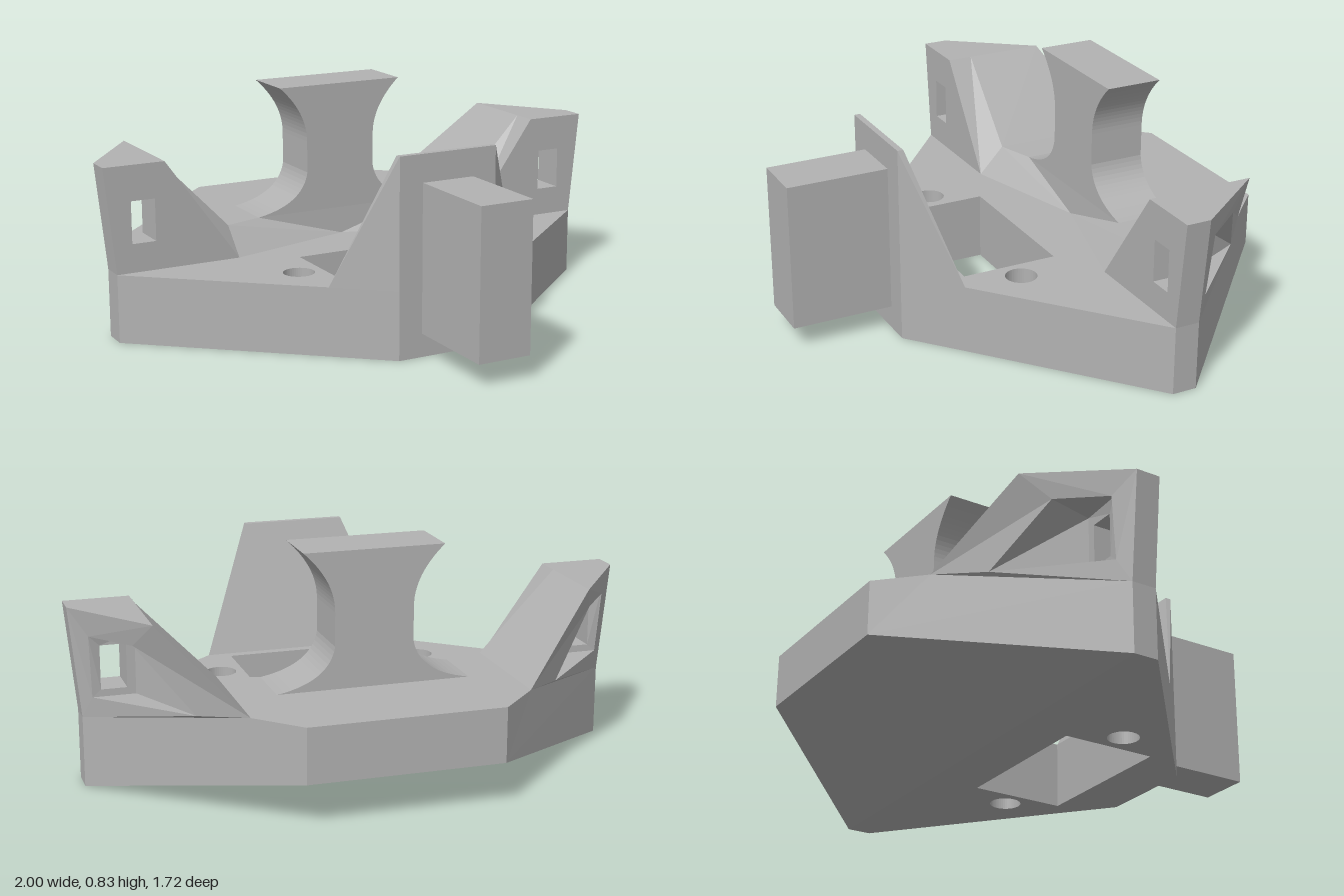
import * as THREE from 'three';

const grey = new THREE.MeshStandardMaterial({ color: 0xb2b2b2, side: THREE.DoubleSide });
grey.name = 'plain grey';

// Collects flat polygons; each face is turned to look along its outward hint.
function shell(name, build) {
  const pos = [];
  const face = (hint, ...pts) => {
    const v = pts.map((p) => new THREE.Vector3(...p));
    const out = new THREE.Vector3(...hint);
    for (let i = 1; i < v.length - 1; i++) {
      const n = v[i].clone().sub(v[0]).cross(v[i + 1].clone().sub(v[0]));
      const tri = n.dot(out) >= 0 ? [v[0], v[i], v[i + 1]] : [v[0], v[i + 1], v[i]];
      tri.forEach((p) => pos.push(p.x, p.y, p.z));
    }
  };
  // Both sides of the model
  const both = (hint, ...pts) => {
    for (const s of [1, -1]) {
      const flip = ([x, y, z]) => [x * s, y, z];
      face(flip(hint), ...pts.map(flip));
    }
  };
  // Band of quads between two loops
  const band = (hints, a, b) => a.forEach((p, i) => {
    const j = (i + 1) % a.length;
    both(hints[i % hints.length], p, a[j], b[j], b[i]);
  });
  build(face, both, band);
  const geo = new THREE.BufferGeometry();
  geo.setAttribute('position', new THREE.Float32BufferAttribute(pos, 3));
  geo.computeVertexNormals();
  return named(name, geo);
}

function named(name, geo) {
  const mesh = new THREE.Mesh(geo, grey);
  mesh.name = name;
  return mesh;
}

export function createModel() {
  const model = new THREE.Group();
  model.name = 'bracket';

  // Front deck with a rectangular opening and two screw holes
  const plan = new THREE.Shape([[-0.96, 0.16], [-0.378, -0.33], [-0.19, -0.49], [0.19, -0.49], [0.378, -0.33], [0.96, 0.16]]
    .map((p) => new THREE.Vector2(...p)));
  plan.holes.push(new THREE.Path([[-0.295, 0.06], [0.3, 0.06], [0.3, -0.295], [-0.295, -0.295]]
    .map((p) => new THREE.Vector2(...p))));
  for (const s of [-1, 1]) plan.holes.push(new THREE.Path().absarc(s * 0.385, -0.115, 0.057, 0, Math.PI * 2));
  const deck = new THREE.ExtrudeGeometry(plan, { depth: 0.25, bevelEnabled: false, curveSegments: 24 });
  deck.rotateX(-Math.PI / 2);
  model.add(named('frontDeck', deck));

  // Sloped nose plate
  model.add(shell('nosePlate', (face, both) => {
    const foot = [0.378, 0.25, 0.33], top = [0.19, 0.72, 0.468], tip = [0.19, 0.72, 0.49], low = [0.19, 0.25, 0.49];
    const m = ([x, y, z]) => [-x, y, z];
    face([0, 1, -1], foot, m(foot), m(top), top);
    face([0, 1, 0], top, m(top), m(tip), tip);
    face([0, 0, 1], tip, m(tip), m(low), low);
    both([1, 0, 0.5], foot, top, tip, low);
  }));

  // Block on the front of the nose
  const block = named('frontBlock', new THREE.BoxGeometry(0.2, 0.535, 0.37));
  block.position.set(0, 0.3525, 0.675);
  model.add(block);

  // Rear hull: raised deck, step, rear walls and sloping underside
  model.add(shell('rearHull', (face, both) => {
    const side = [0.49, 0.35, -0.255], step = [0.345, 0.35, -0.3], mid = [0, 0.25, -0.295];
    const ramp = [0.49, 0.25, -0.16], corner = [0.345, 0.35, -0.86];
    both([0, 1, 0], [0, 0.35, -0.86], [0, 0.35, -0.3], step, side, [0.49, 0.35, -0.715], corner);
    both([0, 0, 1], mid, side, step, [0, 0.35, -0.3]);
    both([0, 1, 0], ramp, side, mid);
    both([0, 1, 0], ramp, mid, [0, 0.25, -0.16]);
    both([0, 0, -1], [0, 0.35, -0.86], corner, [0.345, 0.155, -0.86], [0, 0.155, -0.86]);
    both([0, -1, 0], [0, 0.155, -0.86], [0.345, 0.155, -0.86], [0.96, 0, -0.25], [0, 0, -0.25]);
    both([0, -1, 0], [0, 0, -0.25], [0.96, 0, -0.25], [0.96, 0, -0.16], [0, 0, -0.16]);
    both([1, 0, -1], [0.345, 0.155, -0.86], corner, [0.49, 0.35, -0.715], [0.96, 0.25, -0.25], [0.96, 0, -0.25]);
    both([1, 0, 0], [0.96, 0, -0.16], [0.96, 0.25, -0.16], [0.96, 0.25, -0.25], [0.96, 0, -0.25]);
  }));

  // Wings with a front window that opens into a side recess
  model.add(shell('wings', (face, both, band) => {
    const inner = [0.77, 0.64, -0.16], bend = [0.77, 0.64, -0.255], back = [0.77, 0.64, -0.555];
    const ramp = [0.49, 0.25, -0.16], side = [0.49, 0.35, -0.255], rear = [0.49, 0.35, -0.715];
    const tip = [1, 0.64, -0.16], tipBack = [1, 0.64, -0.25];
    const low = [0.96, 0.25, -0.16], lowBack = [0.96, 0.25, -0.25];
    both([0, 1, 0], inner, tip, tipBack, back);
    both([-1, 1, 0], side, bend, back, rear);
    both([-1, 1, 0], ramp, bend, side);
    both([-1, 1, 0], ramp, inner, bend);
    both([1, 0, 0], low, tip, tipBack, lowBack);

    // Front face framed around the window, and the window tunnel
    const win = (z) => [[0.81, 0.355, z], [0.81, 0.51, z], [0.9, 0.51, z], [0.9, 0.355, z]];
    band([[0, 0, 1]], [ramp, inner, tip, low], win(-0.16));
    const tunnel = [[1, 0, 0], [0, -1, 0], [-1, 0, 0], [0, 1, 0]];
    band(tunnel, win(-0.16), win(-0.29));

    // Outer wall framed around the recess
    const mouth = [[0.64, 0.33, -0.585], [0.82, 0.55, -0.46], [0.94, 0.55, -0.31], [0.93, 0.33, -0.29]];
    band([[1, 0, -1]], [rear, back, tipBack, lowBack], mouth);

    // Recess walls and the frame behind the window
    const end = [[0.78, 0.33, -0.29], [0.78, 0.55, -0.29], [0.94, 0.55, -0.3], [0.93, 0.33, -0.29]];
    both([1, 0, -0.5], mouth[0], mouth[1], end[1], end[0]);
    both([0, -1, 0], mouth[1], mouth[2], end[2], end[1]);
    both([0, 1, 0], mouth[0], mouth[3], end[0]);
    band([[0, 0, -1]], end, win(-0.29));
  }));

  // Pedestal with concave flares at foot and head
  const p = new THREE.Shape();
  p.moveTo(-0.345, 0.35);
  p.lineTo(0.345, 0.35);
  p.quadraticCurveTo(0.16, 0.38, 0.14, 0.5);
  p.lineTo(0.14, 0.62);
  p.quadraticCurveTo(0.14, 0.73, 0.25, 0.83);
  p.lineTo(-0.25, 0.83);
  p.quadraticCurveTo(-0.14, 0.73, -0.14, 0.62);
  p.lineTo(-0.14, 0.5);
  p.quadraticCurveTo(-0.16, 0.38, -0.345, 0.35);
  const post = new THREE.ExtrudeGeometry(p, { depth: 0.21, bevelEnabled: false, curveSegments: 14 });
  post.translate(0, 0, -0.51);
  model.add(named('pedestal', post));

  return model;
}
